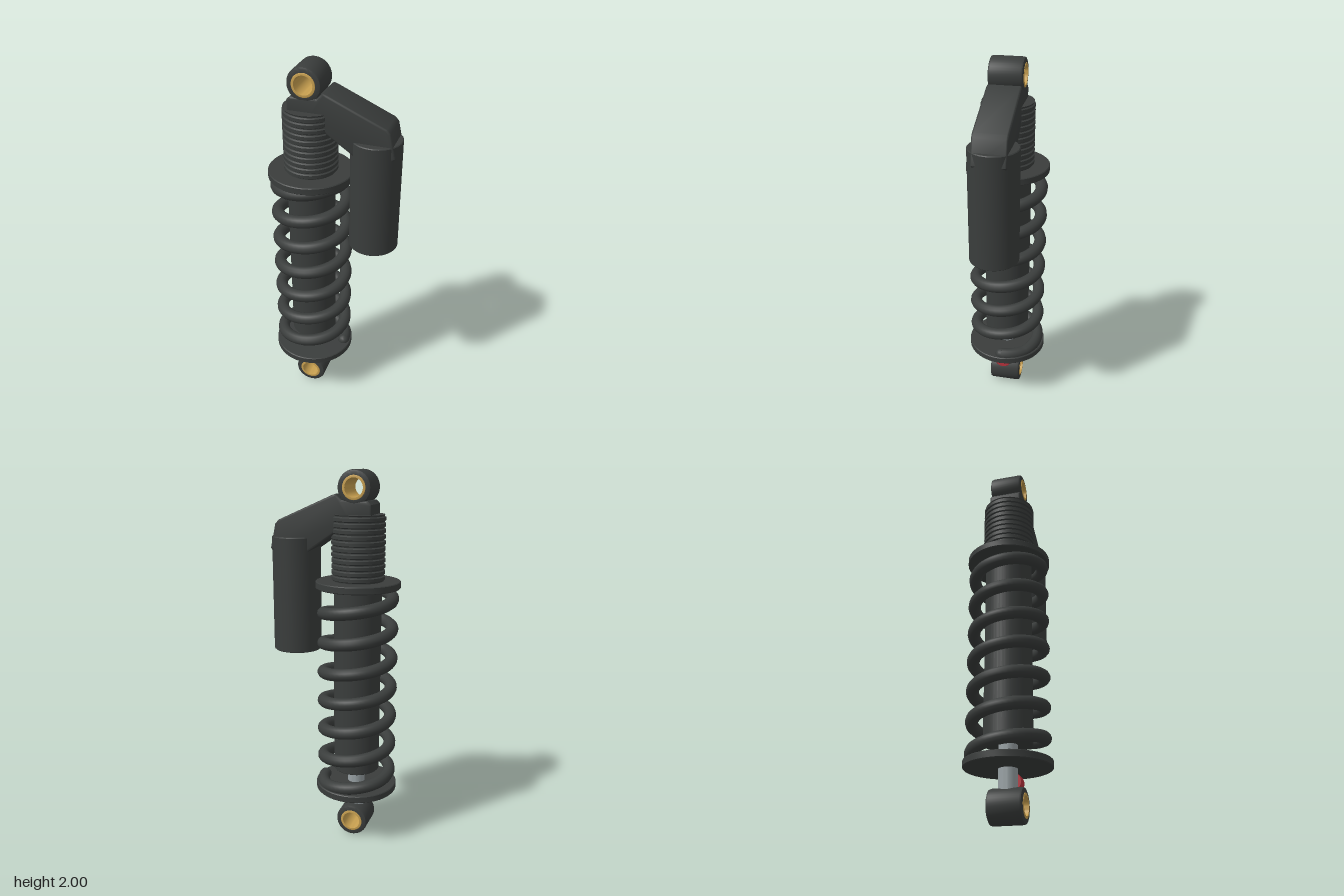
import * as THREE from 'three';
import { toCreasedNormals } from 'three/addons/utils/BufferGeometryUtils.js';

const AXIS_X = -0.125; // main damper axis
const mat = (color) => new THREE.MeshStandardMaterial({ color });
const dark = mat(0x3a3d3c), steel = mat(0x98a1a4), gold = mat(0xc8a050), red = mat(0xb8323c);

function part(group, name, geometry, material, x = 0, y = 0, z = 0) {
  const mesh = new THREE.Mesh(geometry, material);
  mesh.name = name;
  mesh.position.set(x, y, z);
  group.add(mesh);
  return mesh;
}

// Solid of revolution from [radius, height] pairs, with sharp edges kept
function turned(profile, segments = 40) {
  const points = profile.map(([r, y]) => new THREE.Vector2(r, y));
  return toCreasedNormals(new THREE.LatheGeometry(points, segments), 0.5);
}

// Capped cylinder between two heights, with a small edge bevel
function rod(r, y0, y1, bevel = 0.004, segments = 40) {
  return turned([[0, y0], [r - bevel, y0], [r, y0 + bevel], [r, y1 - bevel], [r - bevel, y1], [0, y1]], segments);
}

// Hollow sleeve centred on its own axis
function sleeve(outer, inner, half, bevel) {
  return turned([
    [inner, -half], [outer - bevel, -half], [outer - bevel * 0.3, -half + bevel * 0.3], [outer, -half + bevel],
    [outer, half - bevel], [outer - bevel * 0.3, half - bevel * 0.3], [outer - bevel, half], [inner, half], [inner, -half],
  ]);
}

// Mounting eye with its bushing, bored along z
function mountingEye(name, y) {
  const eye = new THREE.Group();
  eye.name = name;
  part(eye, name + 'Housing', sleeve(0.0875, 0.058, 0.088, 0.012), dark);
  part(eye, name + 'Bushing', sleeve(0.061, 0.048, 0.0905, 0.003), gold);
  eye.rotation.x = Math.PI / 2;
  eye.position.set(AXIS_X, y, 0);
  return eye;
}

// Coil path, flattened where it rests against the two seats
class CoilCurve extends THREE.Curve {
  getPoint(t, target = new THREE.Vector3()) {
    const a = t * 7 * Math.PI * 2, r = 0.183;
    const y = THREE.MathUtils.clamp(0.29 + 1.13 * t, 0.31, 1.4);
    return target.set(r * Math.cos(a), y, -r * Math.sin(a));
  }
}

export function createModel() {
  const model = new THREE.Group();
  model.name = 'shockAbsorber';

  // Mounting eyes
  model.add(mountingEye('lowerEye', 0.0875), mountingEye('upperEye', 1.9125));

  // Shaft and damper body
  part(model, 'shaft', rod(0.048, 0.155, 0.42), steel, AXIS_X);
  part(model, 'damperBody', rod(0.125, 0.385, 1.46), dark, AXIS_X);

  // Threaded upper body
  const thread = [[0, 1.42], [0.133, 1.42]];
  const ridges = 11, pitch = 0.03;
  for (let i = 0; i < ridges; i++) {
    const y = 1.445 + i * pitch;
    thread.push([0.133, y], [0.14, y + 0.005], [0.14, y + 0.021], [0.133, y + 0.026]);
  }
  thread.push([0.133, 1.775], [0.136, 1.78], [0, 1.78]);
  part(model, 'threadedBody', turned(thread), dark, AXIS_X);

  // Spring seats
  part(model, 'lowerSpringSeat', rod(0.223, 0.268, 0.306), dark, AXIS_X);
  part(model, 'upperSpringSeat', rod(0.223, 1.403, 1.441), dark, AXIS_X);

  // Coil spring with rounded ends
  const coil = new CoilCurve(), wire = 0.033;
  part(model, 'spring', new THREE.TubeGeometry(coil, 336, wire, 12, false), dark, AXIS_X);
  for (const t of [0, 1]) {
    const p = coil.getPoint(t);
    part(model, 'springEnd', new THREE.SphereGeometry(wire, 12, 8), dark, AXIS_X + p.x, p.y, p.z);
  }

  // Bridge arm from the body to the reservoir
  const outline = [
    [-0.215, 1.76], [-0.215, 1.83], [-0.197, 1.848], [-0.06, 1.853], [-0.03, 1.882], [-0.01, 1.876],
    [0.285, 1.747], [0.303, 1.727], [0.331, 1.6], [0.32, 1.588], [0.12, 1.588], [-0.015, 1.68], [-0.1, 1.755],
  ];
  const bevel = 0.01, depth = 0.176;
  const arm = new THREE.ExtrudeGeometry(new THREE.Shape(outline.map(([x, y]) => new THREE.Vector2(x, y))), {
    depth: depth - 2 * bevel, bevelSize: bevel, bevelThickness: bevel, bevelOffset: -bevel, bevelSegments: 3,
  });
  arm.translate(0, 0, bevel - depth / 2);
  part(model, 'bridgeArm', toCreasedNormals(arm, 0.6), dark);

  // Reservoir
  part(model, 'reservoir', rod(0.129, 1.05, 1.66), dark, 0.218);

  // Rebound adjuster, lying along x
  const knob = part(model, 'adjusterKnob', rod(0.048, -0.03, 0.03, 0.003, 32), red, -0.02, 0.222);
  knob.rotation.z = -Math.PI / 2;

  return model;
}
